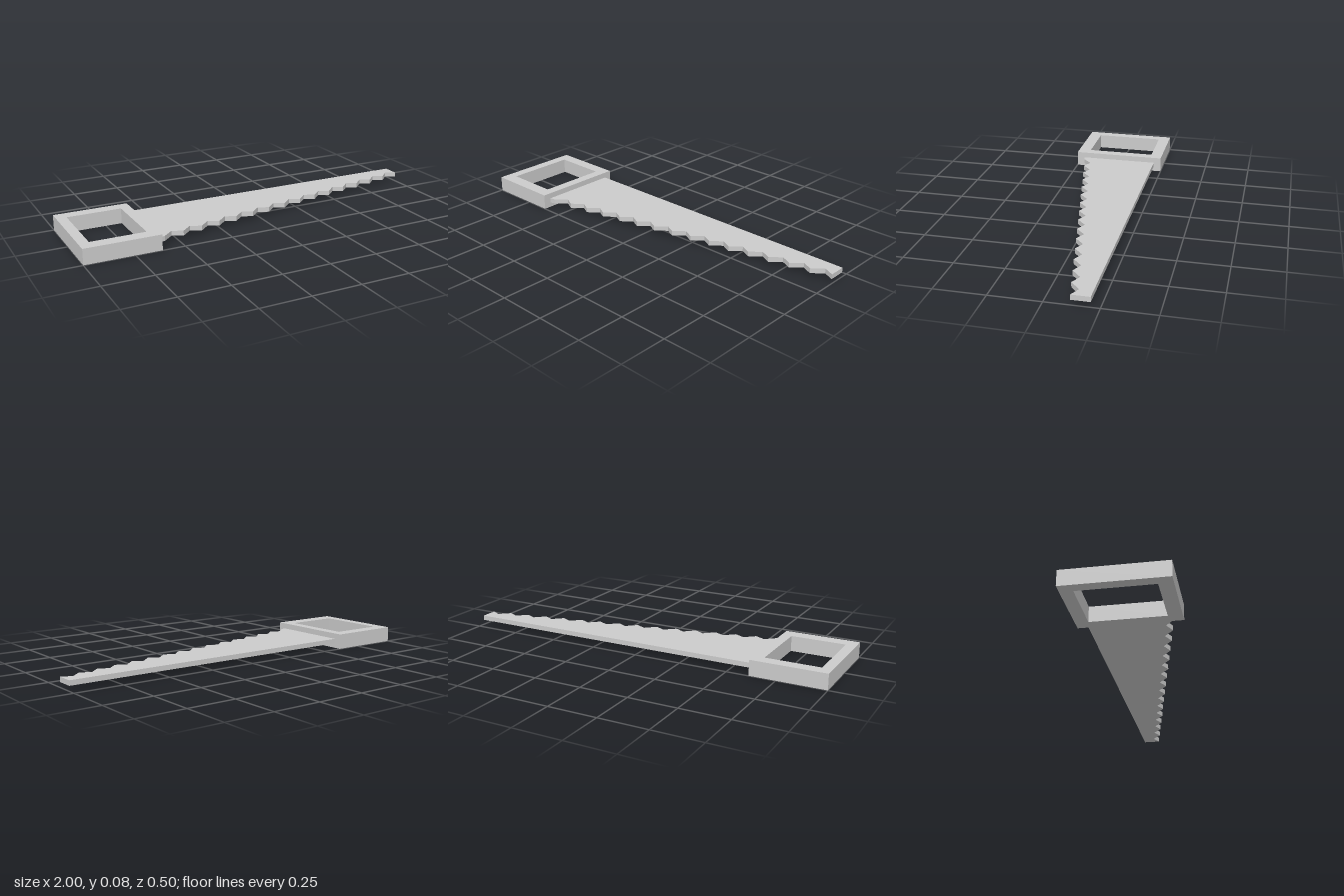
import * as THREE from 'three';

const material = new THREE.MeshStandardMaterial({ color: 0xcccccc, flatShading: true });

// Extrude a plan outline (x, -z) upward from y0 by the given height
function slab(name, shape, y0, height) {
  const geometry = new THREE.ExtrudeGeometry(shape, { depth: height, bevelEnabled: false });
  geometry.rotateX(-Math.PI / 2);
  geometry.translate(0, y0, 0);
  const mesh = new THREE.Mesh(geometry, material);
  mesh.name = name;
  return mesh;
}

const rectangle = (x0, x1, z0, z1) => [[x0, z0], [x0, z1], [x1, z1], [x1, z0]]
  .map(([x, z]) => new THREE.Vector2(x, -z));

export function createModel() {
  const group = new THREE.Group();
  group.name = 'handSaw';

  // Rectangular frame handle
  const frame = new THREE.Shape(rectangle(-1, -0.615, -0.249, 0.249));
  frame.holes.push(new THREE.Path(rectangle(-0.948, -0.667, -0.186, 0.181)));
  group.add(slab('handle', frame, 0, 0.08));

  // Tapered blade: straight back, toothed sloping edge
  const teeth = 15, firstX = -0.583, firstZ = 0.2;
  const pitch = (1 - firstX) / teeth, drop = 0.0213, depth = 0.037;
  const outline = new THREE.Shape();
  outline.moveTo(1, 0.209);
  outline.lineTo(-0.615, 0.209);
  outline.lineTo(-0.615, -0.207);
  outline.lineTo(firstX, -firstZ);
  for (let i = 0; i < teeth; i++) {
    const valleyZ = firstZ - (i + 0.5) * drop - depth;
    outline.lineTo(firstX + (i + 0.5) * pitch, -valleyZ);
    outline.lineTo(firstX + (i + 1) * pitch, -(firstZ - (i + 1) * drop));
  }
  outline.closePath();
  group.add(slab('blade', outline, 0.025, 0.025));

  return group;
}
